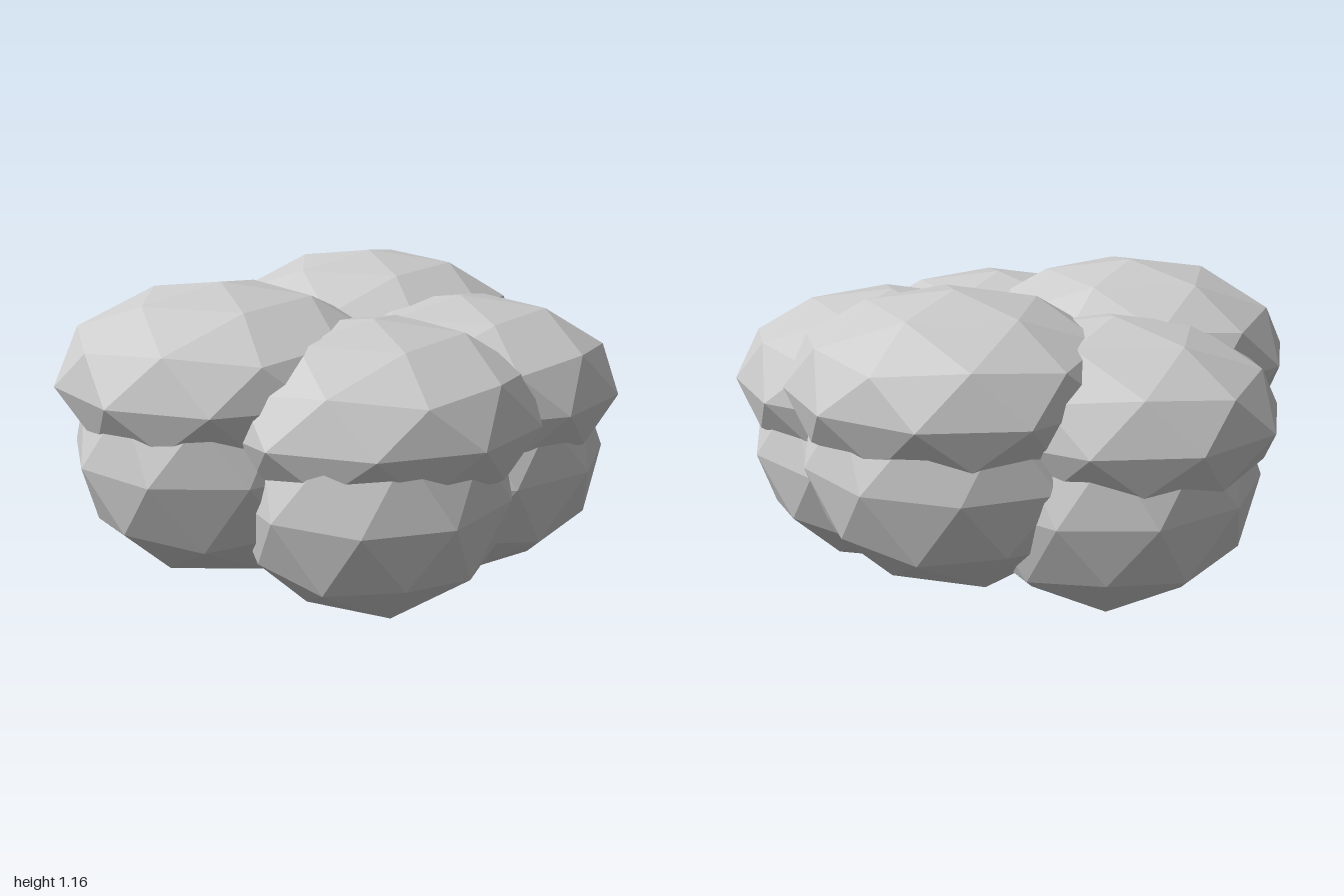
import * as THREE from 'three';

const grey = new THREE.MeshStandardMaterial({ color: 0xcccccc, flatShading: true });
grey.name = 'stone grey';

// Faceted ball with a corner pointing straight up, squashed to the given radii
function facetedBall(rx, ry, rz) {
  const geo = new THREE.IcosahedronGeometry(1, 1);
  geo.rotateZ(-Math.atan(2 / (1 + Math.sqrt(5))));
  geo.scale(rx, ry, rz);
  geo.computeVertexNormals();
  return geo;
}

// Each clump: x, z, height of the upper lobe's centre, turn of the lower lobe in degrees
const clumps = [
  { name: 'back', x: 0.10, z: -0.38, y: 0.83, turn: 86 },
  { name: 'frontRight', x: -0.43, z: 0.21, y: 0.83, turn: 123 },
  { name: 'front', x: 0.10, z: 0.345, y: 0.73, turn: 175 },
  { name: 'left', x: 0.43, z: -0.02, y: 0.73, turn: 90 },
  { name: 'backRight', x: -0.43, z: -0.24, y: 0.73, turn: 135 },
];

export function createModel() {
  const model = new THREE.Group();
  model.name = 'lobedCluster';
  const upperGeo = facetedBall(0.6, 0.333, 0.53);
  const lowerGeo = facetedBall(0.513, 0.48, 0.555);

  for (const c of clumps) {
    const clump = new THREE.Group();
    clump.name = c.name + 'Clump';
    clump.position.set(c.x, 0, c.z);

    // Wide flat lobe on top
    const upper = new THREE.Mesh(upperGeo, grey);
    upper.name = c.name + 'UpperLobe';
    upper.position.y = c.y;

    // Taller lobe beneath, turned about the vertical
    const lower = new THREE.Mesh(lowerGeo, grey);
    lower.name = c.name + 'LowerLobe';
    lower.position.y = c.y - 0.25;
    lower.rotation.y = THREE.MathUtils.degToRad(c.turn);

    clump.add(upper, lower);
    model.add(clump);
  }
  return model;
}
